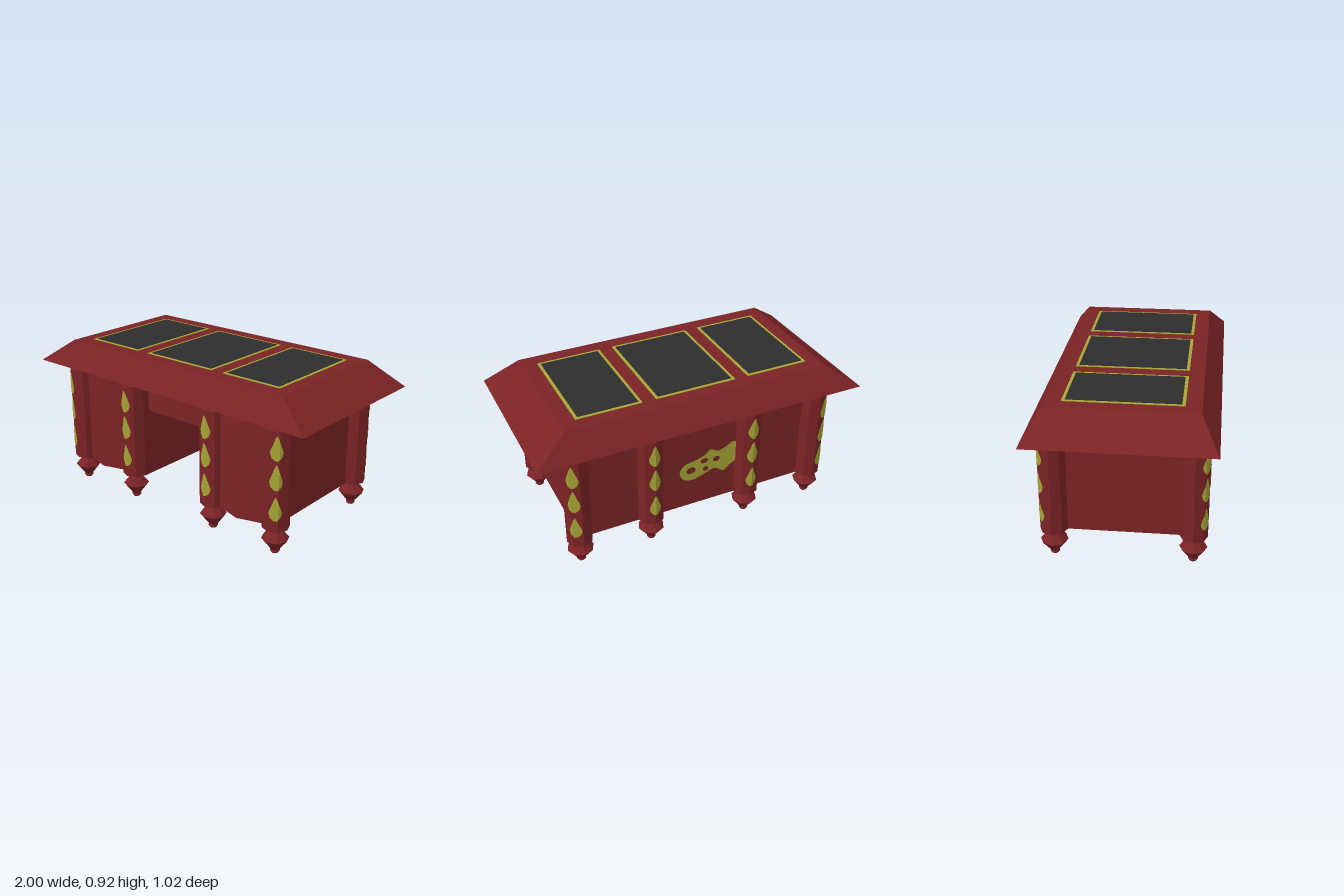
import * as THREE from 'three';

const red = new THREE.MeshStandardMaterial({ color: 0x7b2325, flatShading: true });
red.name = 'redLacquer';
const gold = new THREE.MeshStandardMaterial({ color: 0xa6a536, flatShading: true, side: THREE.DoubleSide });
gold.name = 'goldPaint';
const dark = new THREE.MeshStandardMaterial({ color: 0x2d2d2d });
dark.name = 'darkInlay';

const BASE = 0.157, TOP = 0.74;   // body bottom and top heights
const COL_R = 0.078, COL_Z = 0.388, OUTER_X = 0.76, INNER_X = 0.315;

function add(parent, name, geometry, material, x = 0, y = 0, z = 0) {
  const mesh = new THREE.Mesh(geometry, material);
  mesh.name = name;
  mesh.position.set(x, y, z);
  parent.add(mesh);
  return mesh;
}

// Solid through rectangular rings [halfX, y, halfZ], listed bottom to top
function rectLoft(rings) {
  const pos = [], index = [];
  rings.forEach(([x, y, z]) => pos.push(-x, y, z, x, y, z, x, y, -z, -x, y, -z));
  for (let r = 0; r < rings.length - 1; r++) {
    for (let i = 0; i < 4; i++) {
      const a = r * 4 + i, b = r * 4 + (i + 1) % 4;
      index.push(a, b, b + 4, a, b + 4, a + 4);
    }
  }
  const t = (rings.length - 1) * 4;
  index.push(0, 2, 1, 0, 3, 2, t, t + 1, t + 2, t, t + 2, t + 3);
  const g = new THREE.BufferGeometry();
  g.setAttribute('position', new THREE.Float32BufferAttribute(pos, 3));
  g.setIndex(index);
  const flat = g.toNonIndexed();
  flat.computeVertexNormals();
  return flat;
}

// Painted teardrop folded over the column corner at angle theta; shift slides it round
function dropGeometry(theta, shift, y0, y1) {
  const profile = [[0, 0.25], [0.12, 0.75], [0.32, 1], [0.5, 0.8], [0.7, 0.5], [0.88, 0.28], [1, 0.05]];
  const R = COL_R + 0.003, halfWidth = 0.039;
  const corner = a => new THREE.Vector2(Math.sin(a), Math.cos(a)).multiplyScalar(R);
  const start = corner(theta);
  const place = s => {
    const dir = corner(theta + Math.sign(s) * Math.PI / 4).sub(start);
    return dir.length() ? start.clone().addScaledVector(dir.normalize(), Math.abs(s)) : start;
  };
  const pos = [], index = [];
  profile.forEach(([t, w], row) => {
    const l = shift - w * halfWidth, r = shift + w * halfWidth;
    [l, Math.min(r, Math.max(l, 0)), r].forEach(s => {
      const p = place(s);
      pos.push(p.x, y0 + (y1 - y0) * t, p.y);
    });
    if (row === 0) return;
    for (let i = 0; i < 2; i++) {
      const a = (row - 1) * 3 + i;
      index.push(a, a + 1, a + 4, a, a + 4, a + 3);
    }
  });
  const g = new THREE.BufferGeometry();
  g.setAttribute('position', new THREE.Float32BufferAttribute(pos, 3));
  g.setIndex(index);
  g.computeVertexNormals();
  return g;
}

// Eight-sided column with turned foot and three teardrops
function buildColumn(sx, sz, outer) {
  const group = new THREE.Group();
  group.name = 'column';
  group.position.set(sx * (outer ? OUTER_X : INNER_X), 0, sz * COL_Z);
  add(group, 'shaft', new THREE.CylinderGeometry(COL_R, COL_R, TOP - BASE, 8), red, 0, (TOP + BASE) / 2, 0);
  const foot = [[0, 0], [0.021, 0], [0.028, 0.01], [0.026, 0.022], [0.078, 0.088], [0.04, 0.134], [0.04, BASE]]
    .map(([r, y]) => new THREE.Vector2(r, y));
  add(group, 'foot', new THREE.LatheGeometry(foot, 8), red);
  const theta = outer ? Math.atan2(sx, sz) : (sz > 0 ? 0 : Math.PI);
  const shift = outer ? -sx * sz * 0.017 : 0;
  for (const [y0, y1] of [[0.575, 0.715], [0.405, 0.552], [0.225, 0.365]]) {
    add(group, 'teardrop', dropGeometry(theta, shift, y0, y1), gold);
  }
  return group;
}

// Pedestal with a pointed bow front
function pedestalGeometry(side) {
  const plan = [[0.235, -COL_Z], [OUTER_X, -COL_Z], [OUTER_X, COL_Z], [0.5375, 0.455], [INNER_X, COL_Z], [0.235, COL_Z]];
  const shape = new THREE.Shape(plan.map(([x, z]) => new THREE.Vector2(side * x, -z)));
  const g = new THREE.ExtrudeGeometry(shape, { depth: TOP - BASE, bevelEnabled: false });
  return g.rotateX(-Math.PI / 2).translate(0, BASE, 0);
}

// Painted scroll ornament with pierced holes for the back panel
function ornamentGeometry() {
  const outline = [[-0.13, 0.41], [-0.1, 0.46], [-0.03, 0.475], [0.03, 0.495], [0.07, 0.525], [0.12, 0.5],
    [0.17, 0.515], [0.22, 0.54], [0.265, 0.5], [0.255, 0.41], [0.2, 0.375], [0.16, 0.345], [0.1, 0.38],
    [0.03, 0.36], [-0.04, 0.34], [-0.1, 0.355]].map(([x, y]) => new THREE.Vector2(x, y));
  const shape = new THREE.Shape(new THREE.CatmullRomCurve3(
    outline.map(p => new THREE.Vector3(p.x, p.y, 0)), true).getPoints(64).slice(0, -1)
    .map(p => new THREE.Vector2(p.x, p.y)));
  for (const [x, y, rx, ry] of [[-0.055, 0.41, 0.03, 0.022], [0.03, 0.455, 0.024, 0.017],
    [0.04, 0.395, 0.018, 0.016], [0.11, 0.445, 0.022, 0.018]]) {
    shape.holes.push(new THREE.Path().absellipse(x, y, rx, ry, 0, Math.PI * 2, true));
  }
  return new THREE.ShapeGeometry(shape);
}

export function createModel() {
  const desk = new THREE.Group();
  desk.name = 'desk';

  // Sloped tabletop
  add(desk, 'tabletop', rectLoft([[0.77, 0.738, 0.385], [1, 0.775, 0.51], [0.8, 0.92, 0.41]]), red);

  // Three dark inlays with gold borders
  for (const [x0, x1] of [[-0.72, -0.33], [-0.25, 0.245], [0.325, 0.715]]) {
    const w = x1 - x0, x = (x0 + x1) / 2;
    add(desk, 'inlayBorder', new THREE.BoxGeometry(w, 0.004, 0.65), gold, x, 0.92, -0.003);
    add(desk, 'inlay', new THREE.BoxGeometry(w - 0.036, 0.004, 0.614), dark, x, 0.9225, -0.003);
  }

  // Pedestals, back panel and centre drawer
  add(desk, 'leftPedestal', pedestalGeometry(1), red);
  add(desk, 'rightPedestal', pedestalGeometry(-1), red);
  add(desk, 'backPanel', new THREE.BoxGeometry(0.47, TOP - BASE, 0.03), red, 0, (TOP + BASE) / 2, -COL_Z + 0.015);
  add(desk, 'centreDrawer', new THREE.BoxGeometry(0.47, TOP - 0.57, 0.7), red, 0, (TOP + 0.57) / 2, -0.01);

  const ornament = add(desk, 'backOrnament', ornamentGeometry(), gold, 0, 0, -COL_Z - 0.003);
  ornament.rotation.y = Math.PI;

  // Columns along the front and back
  for (const sx of [-1, 1]) {
    for (const sz of [-1, 1]) {
      desk.add(buildColumn(sx, sz, true), buildColumn(sx, sz, false));
    }
  }
  return desk;
}
